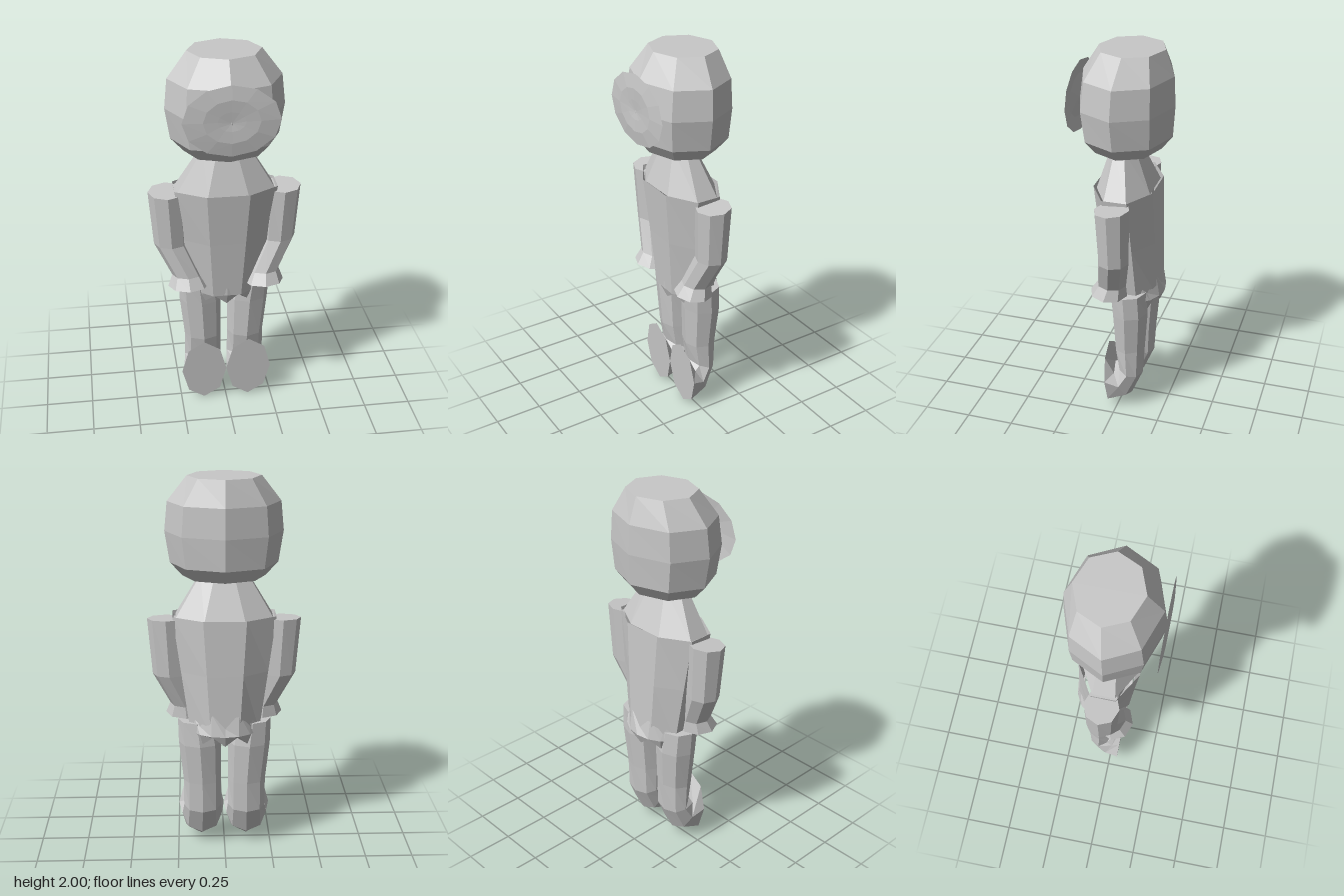
import * as THREE from 'three';

const grey = new THREE.MeshStandardMaterial({ color: 0xc8c8c8, side: THREE.DoubleSide });
grey.name = 'plain grey';

// Faceted mesh from points and triangles
function facetMesh(name, points, faces) {
  const indexed = new THREE.BufferGeometry();
  indexed.setAttribute('position', new THREE.Float32BufferAttribute(points.flat(), 3));
  indexed.setIndex(faces.flat());
  const geometry = indexed.toNonIndexed();
  geometry.computeVertexNormals();
  const mesh = new THREE.Mesh(geometry, grey);
  mesh.name = name;
  return mesh;
}

// Skin over rings listed from top to bottom.
// Ring: [centre x, half width, front y, front z, back y, back z, zigzag]
function loft(name, rings, { sides = 8, phase = 0, caps = true } = {}) {
  const points = [], faces = [];
  const grow = phase ? 1 / Math.cos(Math.PI / sides) : 1;
  for (const [cx, rx, fy, fz, by, bz, zig = 0] of rings) {
    for (let i = 0; i < sides; i++) {
      const a = (i + phase) / sides * Math.PI * 2;
      const c = Math.cos(a) * grow / 2;
      points.push([
        cx + rx * Math.sin(a) * grow,
        (fy + by) / 2 + (fy - by) * c + (i % 2) * zig,
        (fz + bz) / 2 + (fz - bz) * c,
      ]);
    }
  }
  for (let r = 0; r < rings.length - 1; r++) {
    for (let i = 0; i < sides; i++) {
      const j = (i + 1) % sides, t = r * sides, b = t + sides;
      faces.push([t + i, b + i, b + j], [t + i, b + j, t + j]);
    }
  }
  if (caps) {
    const last = (rings.length - 1) * sides;
    for (let i = 1; i < sides - 1; i++) {
      faces.push([0, i, i + 1], [last, last + i + 1, last + i]);
    }
  }
  return facetMesh(name, points, faces);
}

// Level ring
const level = (y, rx, front, back, zig) => [0, rx, y, front, y, back, zig];

// Shallow dished oval standing in front of the head
function facePlate() {
  const sides = 12, points = [], faces = [];
  const rings = [[0.24, 0.18, 0.236], [0.14, 0.11, 0.246], [0.07, 0.05, 0.243]];
  for (const [rx, ry, z] of rings) {
    for (let i = 0; i < sides; i++) {
      const a = i / sides * Math.PI * 2;
      points.push([rx * Math.cos(a), 1.73 + ry * Math.sin(a), z]);
    }
  }
  points.push([0, 1.72, 0.238]);
  for (let i = 0; i < sides; i++) {
    const j = (i + 1) % sides;
    for (let r = 0; r < 2; r++) {
      const o = r * sides, n = o + sides;
      faces.push([o + i, o + j, n + j], [o + i, n + j, n + i]);
    }
    faces.push([2 * sides + i, 2 * sides + j, 3 * sides]);
  }
  return facetMesh('facePlate', points, faces);
}

export function createModel() {
  const model = new THREE.Group();
  model.name = 'figure';

  // Head and face
  model.add(loft('head', [
    level(2.0, 0.185, 0.136, -0.198),
    level(1.87, 0.285, 0.22, -0.243),
    level(1.72, 0.3, 0.24, -0.25),
    level(1.56, 0.275, 0.22, -0.24),
    level(1.49, 0.21, 0.165, -0.185),
  ]));
  model.add(facePlate());

  // Sloping neck, tucked inside the collar
  model.add(loft('neck', [
    level(1.5, 0.12, 0.06, -0.06),
    level(1.28, 0.25, 0.125, -0.155),
  ], { phase: 0.5 }));

  // Open-topped shirt and ragged hem
  model.add(loft('shirt', [
    level(1.29, 0.265, 0.14, -0.17),
    level(1.0, 0.225, 0.112, -0.18),
    level(0.68, 0.18, 0.085, -0.19),
  ], { phase: 0.5, caps: false }));
  model.add(loft('raggedHem', [
    level(0.72, 0.185, 0.09, -0.195, 0.08),
    level(0.68, 0.185, 0.088, -0.215),
    level(0.62, 0.165, 0.065, -0.19, 0.045),
  ], { sides: 16, caps: false }));

  for (const s of [1, -1]) {
    const side = s > 0 ? 'left' : 'right';

    // Arm with flared cuff
    model.add(loft(side + 'Arm', [
      [s * 0.3, 0.097, 1.26, 0.075, 1.275, -0.105],
      [s * 0.285, 0.088, 0.97, 0.062, 0.97, -0.097],
      [s * 0.205, 0.08, 0.8, 0.092, 0.79, -0.06],
      [s * 0.2, 0.108, 0.742, 0.13, 0.728, -0.065],
    ]));

    // Leg curling forward into a foot whose flat end faces front
    model.add(loft(side + 'Leg', [
      [s * 0.145, 0.1, 0.725, 0.045, 0.73, -0.15],
      [s * 0.13, 0.112, 0.6, 0.038, 0.6, -0.157],
      [s * 0.118, 0.1, 0.37, 0.025, 0.38, -0.14],
      [s * 0.118, 0.1, 0.25, 0.0, 0.21, -0.13],
      [s * 0.12, 0.108, 0.25, 0.025, 0.065, -0.07],
      [s * 0.123, 0.123, 0.375, 0.06, 0.0, 0.042],
    ]));
  }
  return model;
}
